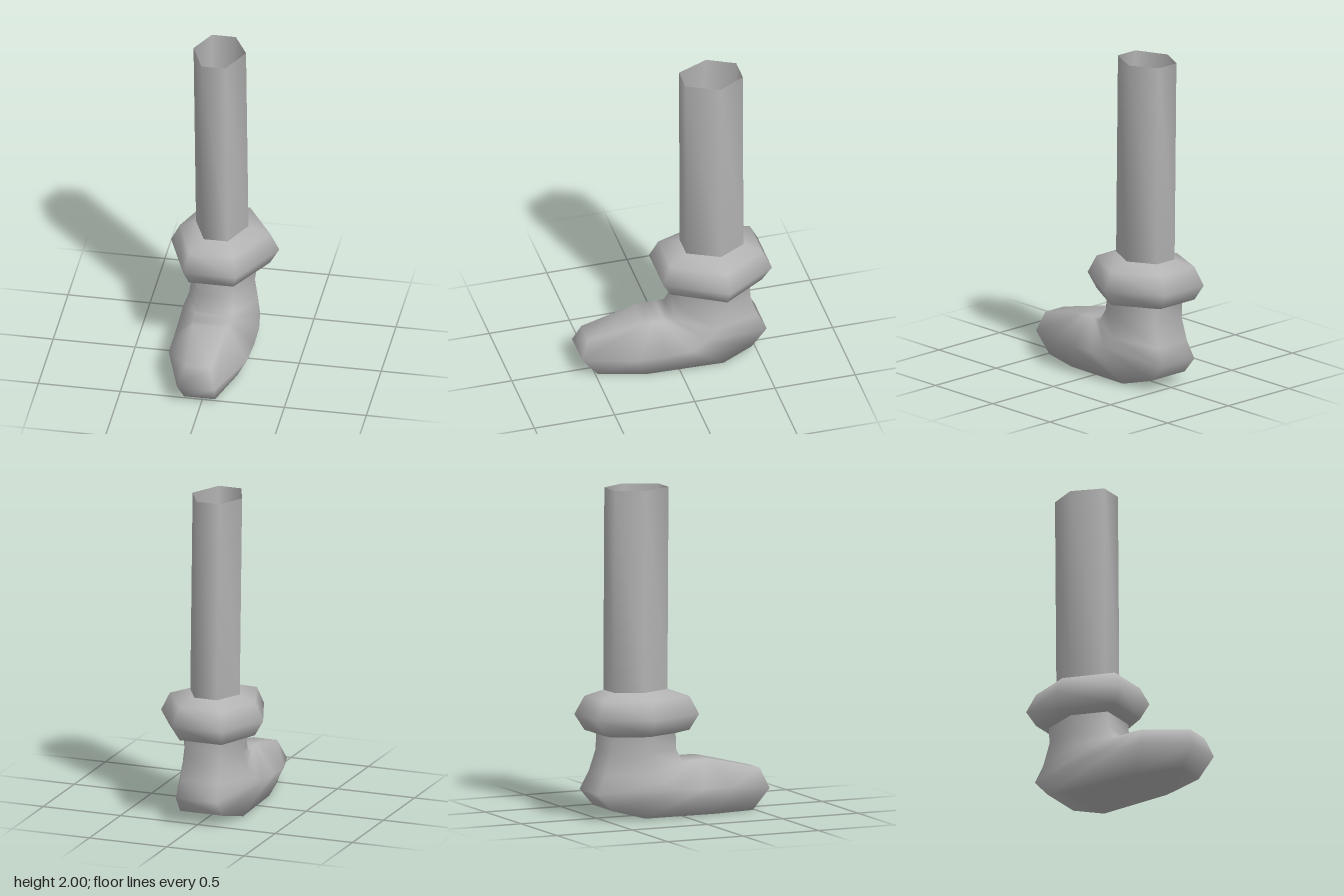
import * as THREE from 'three';

// One six-sided section: front pair, side pair and back pair of corners.
// f, s, b = [half width, y, z]; dx shifts the front/back edges, sx the sides.
function section(f, s, b, dx = 0, sx = 0) {
  return [
    [dx + f[0], f[1], f[2]], [sx + s[0], s[1], s[2]], [dx + b[0], b[1], b[2]],
    [dx - b[0], b[1], b[2]], [sx - s[0], s[1], s[2]], [dx - f[0], f[1], f[2]],
  ];
}

// Level hexagon at height y
function level(y, edge, side, front, mid, back, dx, sx) {
  return section([edge, y, front], [side, y, mid], [edge, y, back], dx, sx);
}

// Skin over sections listed from the top down, with smooth normals
function loft(name, sections, material, capEnd = false) {
  const positions = sections.flat(2);
  const index = [];
  for (let i = 0; i < sections.length - 1; i++) {
    for (let j = 0; j < 6; j++) {
      const a = i * 6 + j, b = i * 6 + (j + 1) % 6;
      index.push(a, a + 6, b + 6, a, b + 6, b);
    }
  }
  if (capEnd) {
    const base = (sections.length - 1) * 6;
    for (const [p, q, r] of [[0, 5, 4], [0, 4, 1], [1, 4, 3], [1, 3, 2]]) {
      index.push(base + p, base + q, base + r);
    }
  }
  const geometry = new THREE.BufferGeometry();
  geometry.setAttribute('position', new THREE.Float32BufferAttribute(positions, 3));
  geometry.setIndex(index);
  geometry.computeVertexNormals();
  const mesh = new THREE.Mesh(geometry, material);
  mesh.name = name;
  return mesh;
}

export function createModel() {
  const group = new THREE.Group();
  group.name = 'bootedLeg';
  const grey = new THREE.MeshStandardMaterial({ color: 0xb4b4b4, side: THREE.DoubleSide });
  grey.name = 'plain grey';

  // Open shin tube, leaning slightly
  group.add(loft('shin', [
    level(2, 0.073, 0.16, -0.073, -0.265, -0.43, -0.037, -0.032),
    level(0.77, 0.073, 0.16, -0.073, -0.265, -0.43, -0.022, -0.017),
  ], grey));

  // Bulging cuff
  group.add(loft('cuff', [
    level(0.77, 0.073, 0.16, -0.073, -0.265, -0.43, -0.022, -0.017),
    level(0.73, 0.135, 0.275, 0.04, -0.265, -0.53, -0.03, 0),
    level(0.62, 0.16, 0.33, 0.092, -0.27, -0.585, -0.03, 0),
    level(0.525, 0.135, 0.275, 0.04, -0.265, -0.53, -0.03, 0),
    level(0.505, 0.11, 0.205, -0.035, -0.25, -0.46, -0.02, -0.005),
  ], grey));

  // Boot: sections turn from the upright ankle forward to the toe
  group.add(loft('boot', [
    level(0.505, 0.11, 0.205, -0.035, -0.25, -0.46, -0.02, -0.005),
    level(0.405, 0.11, 0.19, -0.03, -0.25, -0.46, -0.015, -0.005),
    section([0.11, 0.325, 0.02], [0.21, 0.29, -0.22], [0.12, 0.27, -0.5], -0.01),
    section([0.11, 0.328, 0.07], [0.235, 0.23, -0.15], [0.13, 0.165, -0.555], -0.01),
    section([0.11, 0.33, 0.11], [0.245, 0.18, -0.06], [0.14, 0.06, -0.46], -0.01),
    section([0.11, 0.33, 0.15], [0.245, 0.17, 0.1], [0.19, 0.01, -0.27], -0.01),
    section([0.105, 0.33, 0.2], [0.24, 0.17, 0.28], [0.17, 0.005, 0.2], -0.01, -0.005),
    section([0.075, 0.25, 0.54], [0.115, 0.13, 0.585], [0.095, 0, 0.485], -0.02, -0.025),
  ], grey, true));

  return group;
}
